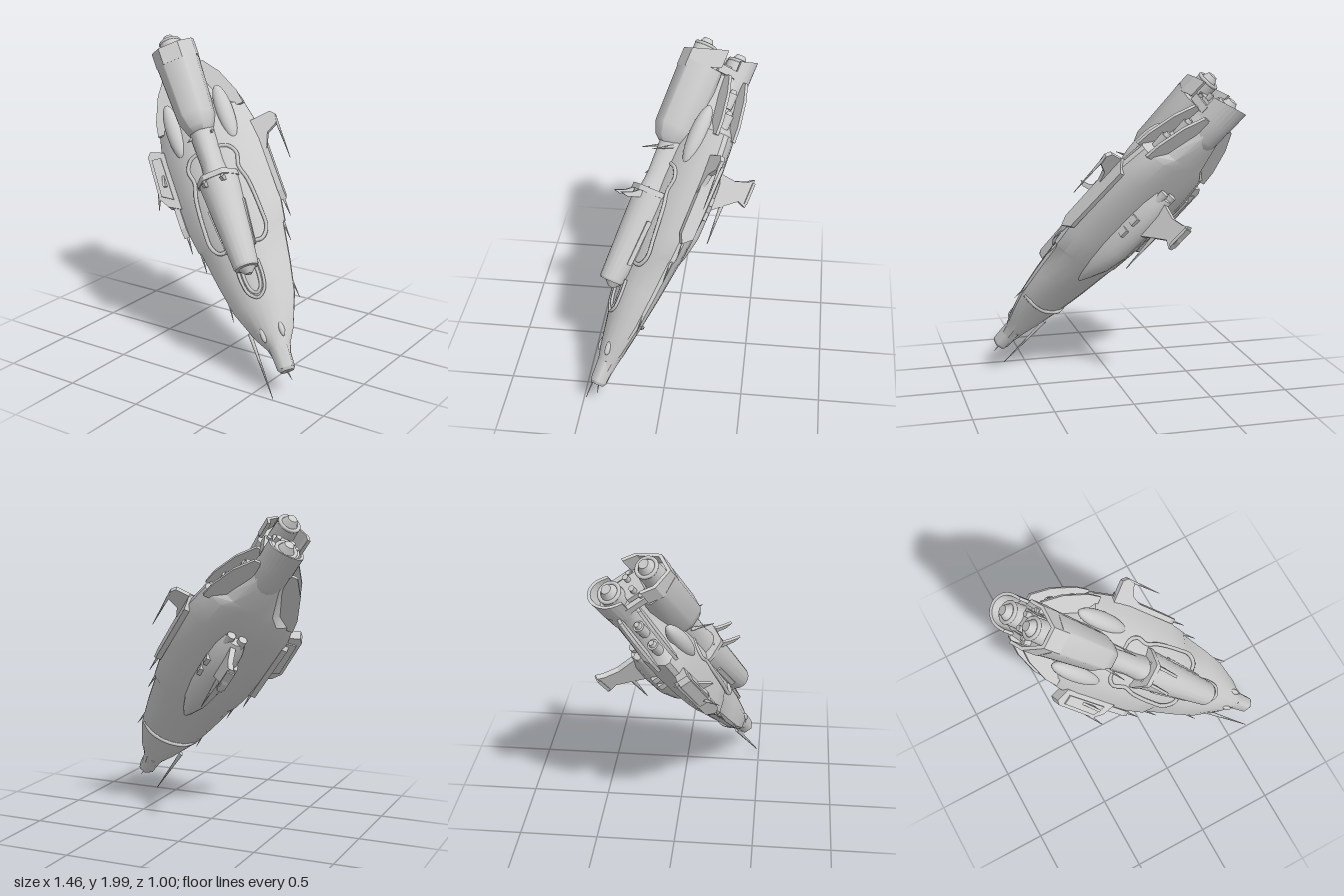
import * as THREE from 'three';
import { toCreasedNormals } from 'three/addons/utils/BufferGeometryUtils.js';

const material = new THREE.MeshStandardMaterial({ color: 0xcccccc, side: THREE.DoubleSide });
const V = (x, y, z) => new THREE.Vector3(x, y, z);

// Half outlines, top to bottom; y is scaled by "top" above zero and "bottom" below it
const HULL = [[0, 1], [.28, .95], [.55, .78], [.8, .47], [1, .1], [1, -.12], [.86, -.55], [.62, -.9], [.25, -1]];
const POD = [[.46, 1], [.56, .94], [.95, .3], [1, .15], [1, -.6], [.7, -1]];
const ROUND = Array.from({ length: 9 }, (_, i) => [Math.sin((i + .5) * Math.PI / 9), Math.cos((i + .5) * Math.PI / 9)]);

// Skin through mirrored rings; each section is [z, halfWidth, top, bottom, centreY], front to back
function loft(half, sections, crease = .5) {
  const left = half.map(([x, y]) => [-x, y]);
  const right = half.filter(p => p[0] > 0).reverse();
  const ring = [...left, ...right];
  const n = ring.length, pos = [];
  const rows = sections.map(([z, w, top, bottom, cy = 0]) =>
    ring.map(([x, y]) => V(x * w, cy + y * (y > 0 ? top : bottom), z)));
  const tri = (...p) => p.forEach(v => pos.push(v.x, v.y, v.z));
  for (let j = 0; j + 1 < rows.length; j++) {
    for (let i = 0; i < n; i++) {
      const k = (i + 1) % n, a = rows[j], b = rows[j + 1];
      tri(a[i], b[i], a[k]);
      tri(a[k], b[i], b[k]);
    }
  }
  const first = rows[0], last = rows[rows.length - 1];
  const mid = r => r.reduce((s, p) => s.add(p), V(0, 0, 0)).divideScalar(n);
  for (let i = 0; i < n; i++) {
    const k = (i + 1) % n;
    tri(mid(first), first[i], first[k]);
    tri(mid(last), last[k], last[i]);
  }
  const g = new THREE.BufferGeometry();
  g.setAttribute('position', new THREE.Float32BufferAttribute(pos, 3));
  return toCreasedNormals(g, crease);
}

export function createModel() {
  const ship = new THREE.Group();
  ship.name = 'spaceship';

  const add = (name, geometry, x = 0, y = 0, z = 0) => {
    const m = new THREE.Mesh(geometry, material);
    m.name = name;
    m.position.set(x, y, z);
    ship.add(m);
    return m;
  };
  const box = (name, w, h, d, x, y, z) => add(name, new THREE.BoxGeometry(w, h, d), x, y, z);
  // Cylinder lying along z
  const rod = (name, rFront, rBack, len, x, y, z, sides = 20) =>
    add(name, new THREE.CylinderGeometry(rFront, rBack, len, sides).rotateX(Math.PI / 2), x, y, z);
  const blob = (name, rx, ry, rz, x, y, z) =>
    add(name, new THREE.SphereGeometry(1, 24, 16).scale(rx, ry, rz), x, y, z);
  const tube = (name, pts, r) =>
    add(name, new THREE.TubeGeometry(new THREE.CatmullRomCurve3(pts.map(p => V(...p))), 48, r, 6));
  // Tapered spike between two points
  const spike = (name, a, b, r) => {
    const from = V(...a), to = V(...b), dir = to.clone().sub(from);
    const m = add(name, new THREE.CylinderGeometry(r * .15, r, dir.length(), 6));
    m.position.copy(from).lerp(to, .5);
    m.quaternion.setFromUnitVectors(V(0, 1, 0), dir.normalize());
  };
  // Flat plate from an outline; lying plates use (x, z), upright ones (z, y)
  const plate = (pts, t) => new THREE.ExtrudeGeometry(new THREE.Shape(pts.map(p => new THREE.Vector2(...p))),
    { depth: t, bevelEnabled: false }).translate(0, 0, -t / 2);
  const lying = (name, pts, t, y) => add(name, plate(pts, t).rotateX(Math.PI / 2), 0, y, 0);
  const upright = (name, pts, t, x) => add(name, plate(pts, t).rotateY(-Math.PI / 2), x, 0, 0);
  // U-shaped hood from a half outline and its inner line; the rear edge leans with height
  const hood = (name, outer, inner, len, lean, z) => {
    const mirror = half => [...half, ...half.map(([x, y]) => [-x, y]).reverse()];
    const g = plate([...mirror(outer), ...mirror(inner).reverse()], len).translate(0, 0, len / 2);
    add(name, g.applyMatrix4(new THREE.Matrix4().set(1, 0, 0, 0, 0, 1, 0, 0, 0, lean, 1, z, 0, 0, 0, 1)));
  };
  const both = fn => [-1, 1].forEach(fn);

  // Main hull with a small shoulder step
  add('hull', loft(HULL, [
    [-.06, .058, .055, .045], [-.12, .075, .07, .05], [-.2, .122, .085, .055], [-.4, .2, .115, .07],
    [-.6, .24, .14, .095], [-.84, .278, .155, .12], [-.86, .294, .157, .122], [-1, .315, .168, .13],
    [-1.2, .337, .18, .135], [-1.5, .34, .18, .135], [-1.7, .3, .175, .132],
    [-1.76, .21, .165, .13], [-1.95, .125, .15, .12], [-2.06, .11, .13, .1]]));

  // Nose: six-sided muzzle, probe, brow bumps and one long lance
  rod('noseMuzzle', .058, .066, .14, 0, .008, -.045, 6);
  rod('noseTip', .045, .058, .02, 0, .008, .033, 6);
  spike('noseProbe', [0, 0, .04], [.01, -.01, .1], .006);
  both(s => blob('noseBump', .018, .022, .05, s * .06, .062, -.205));
  spike('noseLance', [-.15, -.02, -.26], [-.141, -.018, .165], .014);
  tube('chinRib', [[-.19, -.02, -.42], [-.12, -.07, -.4], [0, -.08, -.38], [.12, -.07, -.4], [.19, -.02, -.42]], .012);

  // Forward dorsal nacelle with its collar, spine tube and front slot
  add('forwardNacelle', loft(ROUND, [
    [-.595, .072, .072, .07, .2], [-.61, .08, .08, .08, .2],
    [-1.2, .13, .145, .13, .15], [-1.22, .1, .11, .1, .15]]));
  rod('nacelleMuzzle', .02, .06, .04, 0, .185, -.58);
  add('collar', loft(POD, [[-1.19, .136, .148, .12, .15], [-1.225, .136, .148, .12, .15]]));
  add('spineTube', loft(ROUND, [
    [-1.2, .085, .12, .1, .15], [-1.32, .075, .11, .1, .15], [-1.6, .085, .12, .1, .15]]));
  both(s => {
    upright('collarProng', [[-1.23, .24], [-1.16, .24], [-1.12, .35], [-1.13, .4], [-1.16, .33]], .018, s * .06);
    box('nacelleStrip', .014, .03, .3, s * .103, .17, -.88).rotation.y = -s * .09;
    tube('sideRail', [[.07, .17, -1.42], [.13, .16, -1.4], [.165, .15, -1.34], [.15, .153, -1.25], [.175, .148, -1.15],
      [.19, .133, -.95], [.185, .12, -.82], [.14, .13, -.76], [.09, .14, -.76]].map(([x, y, z]) => [s * x, y, z]), .013);
    spike('spineSpike', [s * .07, .2, -1.52], [s * .08, .33, -1.45], .012);
    blob('deckBlister', .057, .052, .2, s * .176, .125, -1.64).rotation.z = -s * .5;
  });
  [[.045, .09], [.07, .12]].forEach(([w, l]) => tube('slotRim', [
    [-w, .14, -.64], [-w, .135, -.54], [-w * .7, .128, -.54 + l * .7], [0, .125, -.54 + l],
    [w * .7, .128, -.54 + l * .7], [w, .135, -.54], [w, .14, -.64]], .01));

  // Upper engine pod with a hood open towards the belly
  add('upperEnginePod', loft(POD, [
    [-1.53, .06, .07, .08, .2], [-1.56, .088, .1, .1, .2], [-1.64, .117, .13, .12, .2],
    [-2.06, .136, .138, .1, .2]], .8));
  hood('upperEngineHood', [[.14, .135], [.14, .222], [.066, .34]], [[.12, .135], [.12, .216], [.056, .32]], .12, .37, -2.256);
  // Lower engine pod, rounded front, with a hood open towards the deck
  add('lowerEnginePod', loft(ROUND, [
    ...[.1, .35, .6, .8, .95].map(a => {
      const r = .11 * Math.sin(a * Math.PI / 2);
      return [-1.84 - .12 * (1 - Math.cos(a * Math.PI / 2)), r, r, r, -.025];
    }),
    [-2.1, .11, .11, .11, -.025]]));
  const arc = r => Array.from({ length: 7 }, (_, i) => {
    const a = i * Math.PI / 13;
    return [r * Math.cos(a), -.025 - r * Math.sin(a)];
  });
  hood('lowerEngineHood', [[.112, .015], ...arc(.112)], [[.094, .015], ...arc(.094)], .16, .35, -2.19);

  // Engine nozzles
  [.235, -.02].forEach(y => {
    rod('engineNozzle', .075, .07, .14, 0, y, -2.12);
    add('nozzleRing', new THREE.TorusGeometry(.062, .012, 8, 24), 0, y, -2.19);
    rod('nozzleCone', .055, .03, .05, 0, y, -2.21);
  });
  // Machinery between the engines
  box('engineBlock', .14, .12, .1, 0, .1, -2.08);
  both(s => {
    rod('enginePipe', .018, .018, .14, s * .045, .1, -2.1, 10);
    rod('enginePipe', .014, .014, .12, s * .09, .12, -2.07, 10);
    box('engineBracket', .03, .14, .05, s * .1, .07, -2.09);
  });
  // Stern decks over the recessed flank thrusters
  const flank = [[.3, -1.68], [.285, -1.78], [.22, -1.95], [.14, -2.07]];
  const stern = [...flank, ...flank.map(([x, z]) => [-x, z]).reverse()];
  lying('upperSternDeck', stern, .02, .06);
  lying('lowerSternDeck', stern, .02, -.065);
  both(s => [[.215, -1.78], [.15, -1.92]].forEach(([x, z]) => {
    rod('flankThruster', .03, .034, .1, s * x, 0, z);
    rod('flankThrusterCore', .024, .016, .03, s * x, 0, z - .06);
  }));

  // Flank rails and small trailing spikes
  both(s => {
    add('flankRail', plate([[-1.56, .03], [-1.5, .05], [-1.04, .045], [-.98, .015], [-1.03, -.045], [-1.5, -.05]], .035)
      .rotateY(-Math.PI / 2), s * .333, 0, 0);
    spike('railSpike', [s * .33, 0, -1], [s * .335, 0, -.87], .01);
    spike('shoulderSpike', [s * .28, 0, -.86], [s * .285, 0, -.72], .01);
    spike('bowSpike', [s * .21, 0, -.48], [s * .22, 0, -.36], .008);
  });

  // Right side: stub wing block with fins
  lying('rightWing', [[-.3, -1.57], [-.385, -1.61], [-.41, -1.58], [-.42, -1.28], [-.38, -1.21], [-.3, -1.16]], .07, .02);
  lying('rightWingPanel', [[-.33, -1.54], [-.39, -1.55], [-.4, -1.29], [-.33, -1.24]], .09, .02);
  upright('rightWingFin', [[-1.44, .05], [-1.34, .05], [-1.32, .13], [-1.37, .1]], .016, -.35);
  spike('rightWingSpike', [-.415, .03, -1.32], [-.437, .08, -1.2], .012);
  // Left side: swept winglet with a long antenna
  lying('leftWing', [[.3, -1.55], [.44, -1.56], [.465, -1.53], [.455, -1.47], [.38, -1.43], [.33, -1.3]], .03, .035);
  spike('leftWingAntenna', [.458, .035, -1.53], [.46, .026, -1.22], .012);

  // Belly housing with vents, rear tubes and keel fin
  add('bellyHousing', loft(ROUND, [
    [-.72, .01, .01, .01, -.11], [-.78, .04, .04, .04, -.11], [-.9, .078, .08, .09, -.115], [-1.05, .1, .09, .12, -.118],
    [-1.25, .105, .09, .122, -.118], [-1.42, .095, .09, .115, -.115], [-1.52, .07, .08, .09, -.11]]));
  both(s => {
    [-1.2, -1.3].forEach(z => box('bellyVent', .05, .05, .055, s * .08, -.17, z));
    rod('bellyTube', .028, .028, .08, s * .038, -.16, -1.51, 14);
  });
  upright('keelFin', [[-1.22, -.2], [-1.31, -.31], [-1.38, -.4], [-1.36, -.46], [-1.43, -.465], [-1.55, -.45],
    [-1.52, -.41], [-1.49, -.32], [-1.5, -.18]], .035, 0);
  box('keelFinTip', .05, .02, .15, 0, -.452, -1.455);
  spike('keelAntenna', [0, -.305, -1.32], [0, -.318, -1.045], .016);

  // Nose-down, rolled attitude
  ship.applyMatrix4(new THREE.Matrix4().makeBasis(V(.777, .4, -.485), V(.229, .538, .811), V(.586, -.742, .326))
    .setPosition(.66, .2, .38));
  return ship;
}
